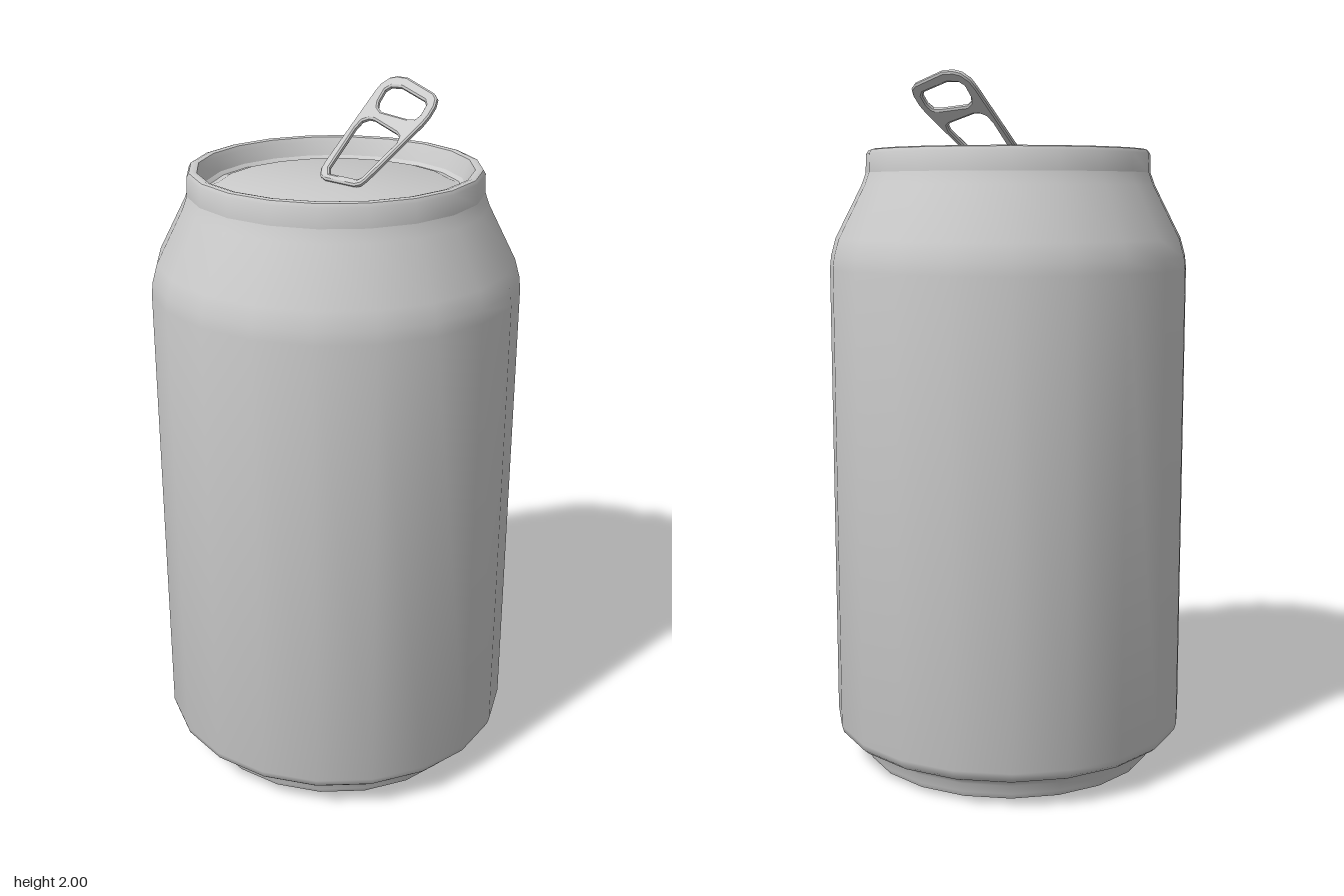
import * as THREE from 'three';
import { toCreasedNormals } from 'three/addons/utils/BufferGeometryUtils.js';

const SIDES = 20;
const material = new THREE.MeshStandardMaterial({ color: 0xcccccc });

const points = (list) => list.map(([x, y]) => new THREE.Vector2(x, y));

// Turned part from a [radius, height] profile
function turned(name, profile) {
  const geometry = toCreasedNormals(new THREE.LatheGeometry(points(profile), SIDES), 0.7);
  const mesh = new THREE.Mesh(geometry, material);
  mesh.name = name;
  return mesh;
}

// Flat lever with two finger holes, tilted 45 degrees out of the lid
function pullTab() {
  const shape = new THREE.Shape(points([
    [0.012, -0.05], [0.018, -0.073], [0.034, -0.083], [0.05, -0.083],
    [0.225, -0.053], [0.245, -0.047], [0.262, -0.028], [0.268, -0.005], [0.268, 0.033],
    [0.242, 0.148], [0.232, 0.166], [0.214, 0.174], [0.19, 0.173], [0.17, 0.166],
    [0.03, 0.088], [0.018, 0.077], [0.012, 0.058],
  ]));
  const gripHole = [
    [0.182, 0.01], [0.192, -0.012], [0.205, -0.02], [0.232, -0.02], [0.242, -0.007],
    [0.244, 0.03], [0.222, 0.132], [0.212, 0.144], [0.19, 0.144], [0.178, 0.134], [0.176, 0.11],
  ];
  const rivetHole = [
    [0.027, -0.045], [0.04, -0.057], [0.137, -0.046], [0.154, -0.038], [0.162, -0.02],
    [0.162, 0.0], [0.141, 0.1], [0.134, 0.115], [0.12, 0.118], [0.034, 0.07], [0.027, 0.058],
  ];
  for (const hole of [gripHole, rivetHole]) shape.holes.push(new THREE.Path(points(hole)));

  const thickness = 0.016, bevel = 0.004;
  const geometry = new THREE.ExtrudeGeometry(shape, {
    depth: thickness - 2 * bevel, bevelThickness: bevel, bevelSize: bevel,
    bevelOffset: -bevel, bevelSegments: 1,
  });
  geometry.translate(0, 0, bevel - thickness / 2);
  // Outline is drawn in plan (x, z); the basis lifts it along the slope
  const h = Math.SQRT1_2;
  const tilt = new THREE.Matrix4().makeBasis(
    new THREE.Vector3(1, 1, 0), new THREE.Vector3(0, 0, 1), new THREE.Vector3(h, -h, 0));
  geometry.applyMatrix4(tilt).translate(0, 1.726, 0);
  const mesh = new THREE.Mesh(toCreasedNormals(geometry, 0.6), material);
  mesh.name = 'pullTab';
  return mesh;
}

export function createModel() {
  const can = new THREE.Group();
  can.name = 'drinkCan';
  can.add(
    // Recessed bottom and standing ring
    turned('base', [
      [0, 0.035], [0.345, 0.035], [0.385, 0.012], [0.41, 0], [0.428, 0.004],
      [0.436, 0.02], [0.438, 0.045], [0.45, 0.06],
    ]),
    // Straight wall with tapered foot and shoulder
    turned('body', [
      [0.45, 0.06], [0.5, 0.083], [0.514, 0.095], [0.52, 0.115], [0.52, 1.455],
      [0.516, 1.49], [0.502, 1.54], [0.425, 1.69], [0.412, 1.725],
    ]),
    // Rolled rim
    turned('rim', [
      [0.412, 1.725], [0.41, 1.778], [0.404, 1.788], [0.394, 1.791],
      [0.382, 1.788], [0.376, 1.775], [0.362, 1.738],
    ]),
    // Sunken lid
    turned('lid', [[0.362, 1.738], [0.352, 1.729], [0.343, 1.729], [0.325, 1.737], [0, 1.737]]),
    pullTab(),
  );
  return can;
}
